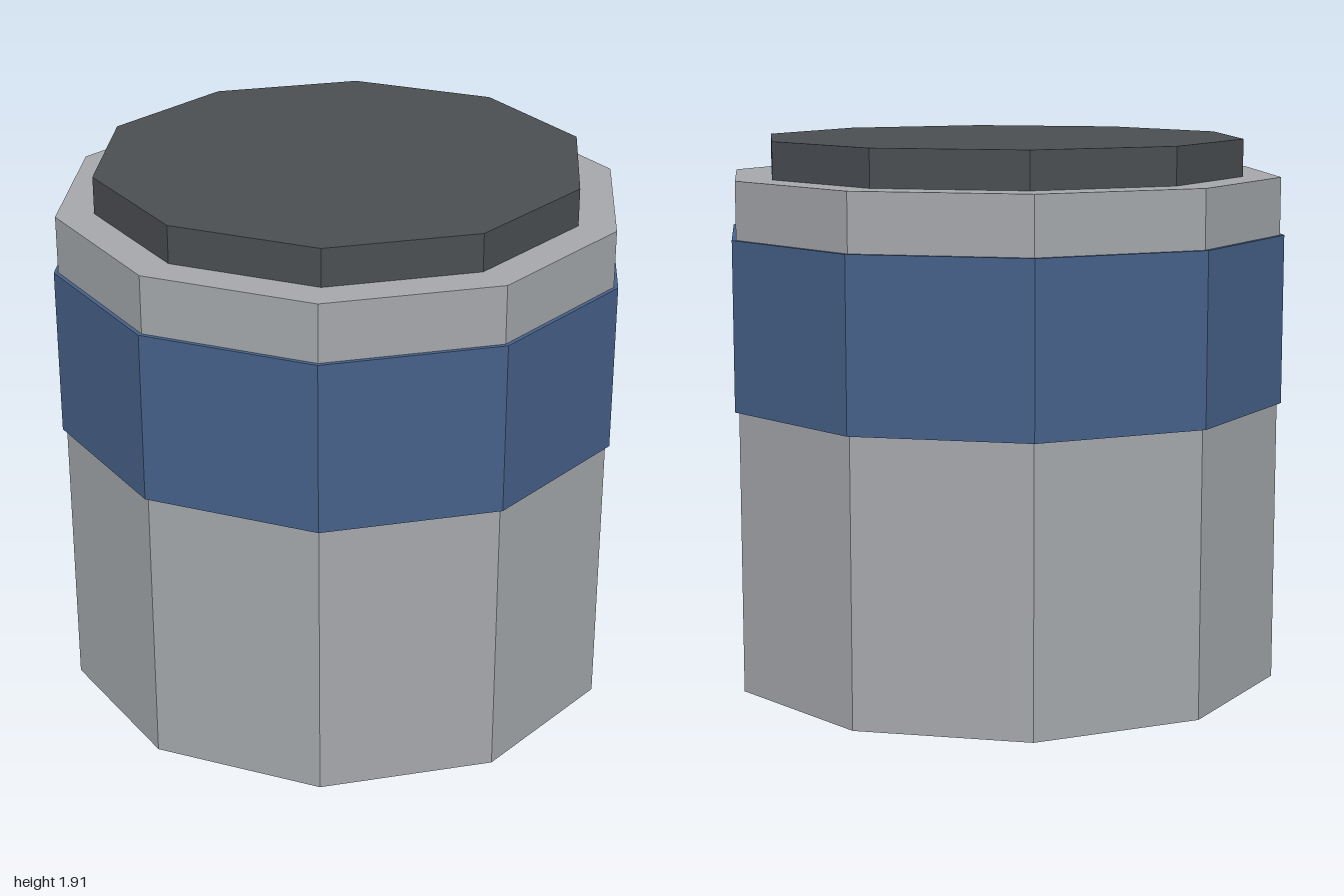
import * as THREE from 'three';

const SIDES = 10;

function material(name, color) {
  const m = new THREE.MeshStandardMaterial({ color, flatShading: true });
  m.name = name;
  return m;
}

// Ten-sided drum with a corner on the x axis, spanning bottom to top
function drum(name, radius, bottom, top, mat) {
  const geometry = new THREE.CylinderGeometry(radius, radius, top - bottom, SIDES, 1, false, Math.PI / 2);
  geometry.translate(0, (bottom + top) / 2, 0);
  const mesh = new THREE.Mesh(geometry, mat);
  mesh.name = name;
  return mesh;
}

export function createModel() {
  const group = new THREE.Group();
  group.name = 'canister';

  const grey = material('light grey', 0xa4a7ab);
  const blue = material('blue', 0x466089);
  const dark = material('dark grey', 0x4a4e52);

  group.add(
    drum('body', 0.985, 0, 1.78, grey),
    drum('band', 1.0, 0.99, 1.58, blue), // raised collar around the body
    drum('lid', 0.853, 1.78, 1.91, dark),
  );
  return group;
}
